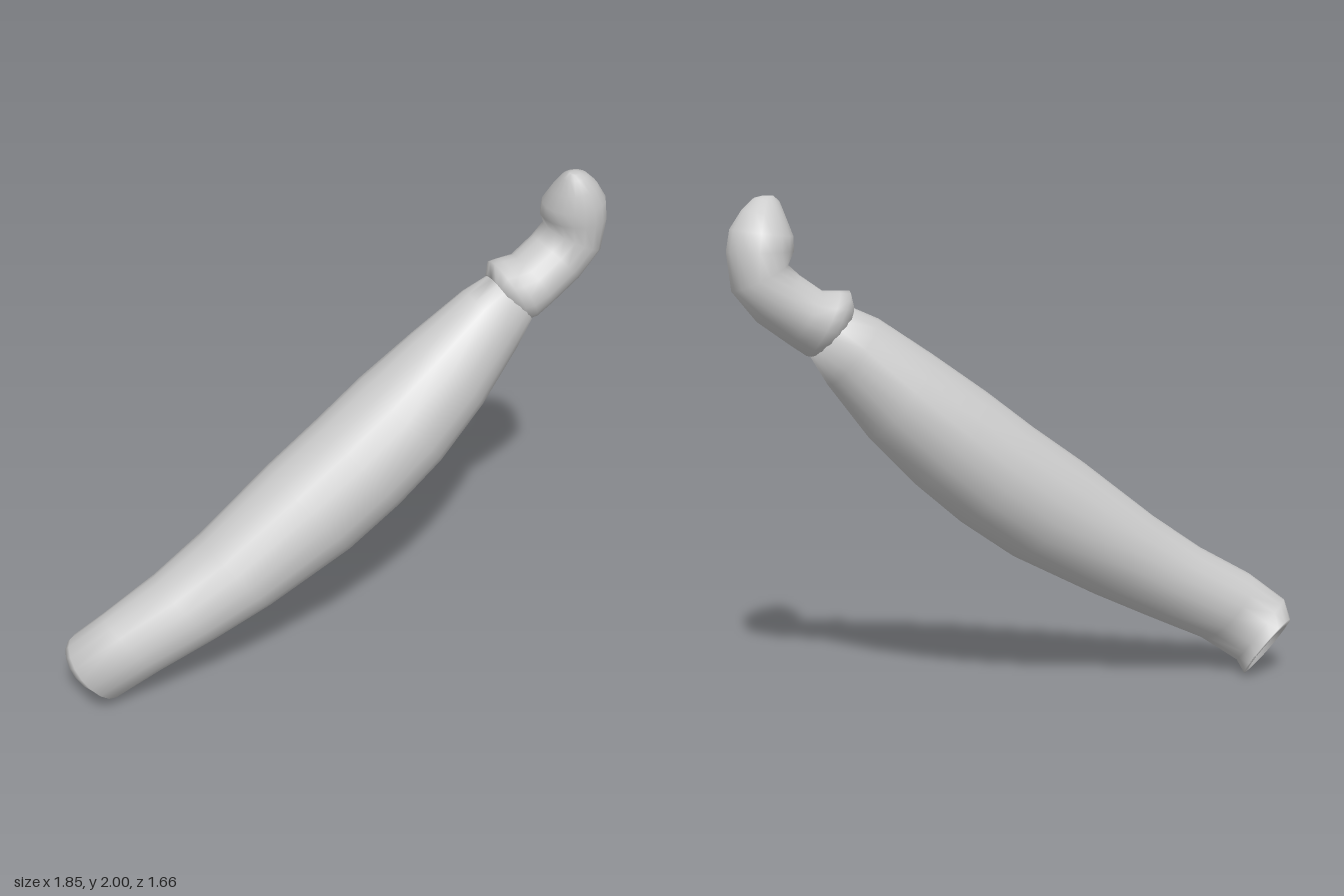
import * as THREE from 'three';

const SIDES = 18;

// Skin a closed tube over sections: [x, y, z, tangent, half height, half width]
function loft(name, sections, material) {
  const pos = [], index = [];
  const up = new THREE.Vector3(0, 0, 1);
  for (const [x, y, z, t, a, b] of sections) {
    const T = new THREE.Vector3(...t).normalize();
    const N = up.clone().cross(T).normalize();
    const S = T.clone().cross(N);
    for (let j = 0; j < SIDES; j++) {
      const q = (j / SIDES) * Math.PI * 2;
      const p = new THREE.Vector3(x, y, z)
        .addScaledVector(N, a * Math.cos(q))
        .addScaledVector(S, b * Math.sin(q));
      pos.push(p.x, p.y, p.z);
    }
  }
  for (let i = 0; i < sections.length - 1; i++) {
    for (let j = 0; j < SIDES; j++) {
      const k = (j + 1) % SIDES;
      const a = i * SIDES + j, b = i * SIDES + k;
      index.push(a, b, a + SIDES, b, b + SIDES, a + SIDES);
    }
  }
  // Close both ends with a fan
  const last = (sections.length - 1) * SIDES;
  for (let j = 1; j < SIDES - 1; j++) {
    index.push(0, j + 1, j, last, last + j, last + j + 1);
  }
  const geo = new THREE.BufferGeometry();
  geo.setAttribute('position', new THREE.Float32BufferAttribute(pos, 3));
  geo.setIndex(index);
  geo.computeVertexNormals();
  const mesh = new THREE.Mesh(geo, material);
  mesh.name = name;
  return mesh;
}

export function createModel() {
  const group = new THREE.Group();
  group.name = 'limb';
  const mat = new THREE.MeshStandardMaterial({ color: 0xcccccc });
  const along = [0.78, 0.63, 0];
  const socket = [0.6, 0.58, 0.52];

  // Long muscle, from the hollow socket at the low end up to the narrow joint
  group.add(loft('upperLimb', [
    [-0.97, 0.16, -0.01, socket, 0.02, 0.02],
    [-1.0, 0.135, -0.035, socket, 0.075, 0.06],
    [-1.035, 0.115, -0.07, socket, 0.12, 0.095],
    [-1.04, 0.118, -0.06, socket, 0.148, 0.12],
    [-1.045, 0.17, 0.025, [0.7, 0.6, 0.4], 0.162, 0.142],
    [-0.9, 0.275, 0.066, along, 0.168, 0.153],
    [-0.67, 0.39, 0.072, along, 0.18, 0.18],
    [-0.45, 0.515, 0.073, along, 0.202, 0.206],
    [-0.12, 0.725, 0.062, along, 0.239, 0.236],
    [0.1, 0.88, 0.053, along, 0.24, 0.241],
    [0.29, 1.035, 0.047, along, 0.233, 0.238],
    [0.5, 1.215, 0.035, along, 0.207, 0.2],
    [0.69, 1.395, 0.024, along, 0.163, 0.152],
    [0.78, 1.475, 0.02, along, 0.125, 0.125],
  ], mat));

  // Foot: a low collar at the joint, a short neck, then a blunt upturned tip
  group.add(loft('foot', [
    [0.74, 1.48, 0.02, [0.88, 0.46, 0], 0.11, 0.11],
    [0.77, 1.505, 0.018, [0.88, 0.46, 0], 0.145, 0.137],
    [0.81, 1.51, 0.016, [0.88, 0.46, 0], 0.142, 0.143],
    [0.88, 1.535, 0.012, [0.83, 0.56, 0], 0.122, 0.138],
    [0.985, 1.61, 0.005, [0.72, 0.69, 0], 0.122, 0.138],
    [1.055, 1.69, 0.005, [0.42, 0.9, 0], 0.12, 0.142],
    [1.05, 1.79, 0.015, [0, 1, 0], 0.13, 0.147],
    [1.04, 1.86, 0.03, [-0.12, 1, 0], 0.124, 0.138],
    [1.025, 1.93, 0.055, [-0.2, 1, 0], 0.088, 0.1],
    [1.01, 1.985, 0.075, [-0.15, 1, 0], 0.05, 0.055],
    [1.005, 2.0, 0.08, [0, 1, 0], 0.022, 0.025],
  ], mat));

  // Swing the limb diagonally across the footprint
  group.rotation.y = 0.712;
  return group;
}
